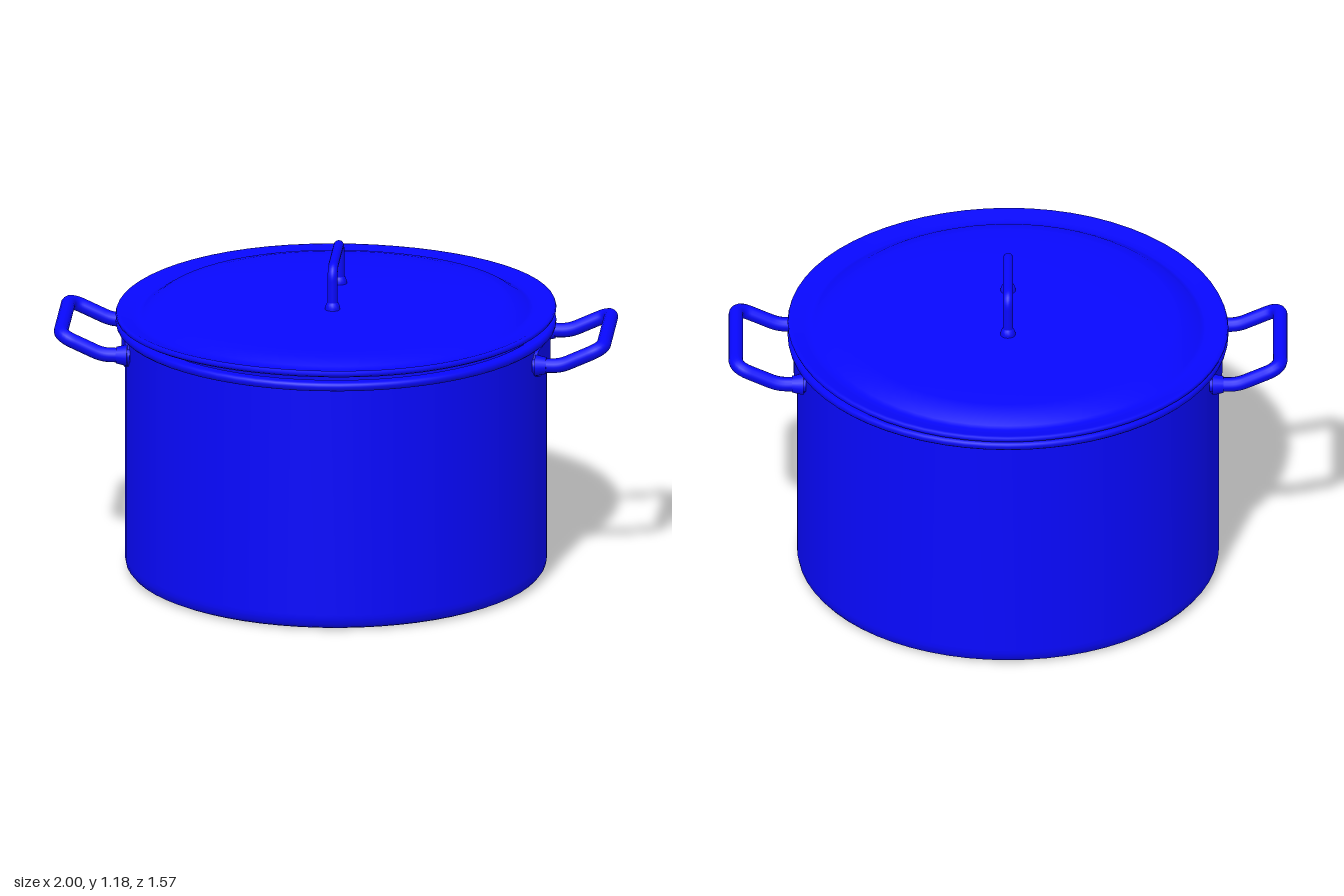
import * as THREE from 'three';
import { mergeVertices } from 'three/addons/utils/BufferGeometryUtils.js';

const material = new THREE.MeshStandardMaterial({ color: 0x0808ff });
const V = (x, y, z) => new THREE.Vector3(x, y, z);

function part(name, geometry, parent) {
  const mesh = new THREE.Mesh(geometry, material);
  mesh.name = name;
  parent.add(mesh);
  return mesh;
}

const lathe = (profile, sides) =>
  new THREE.LatheGeometry(profile.map(([r, y]) => new THREE.Vector2(r, y)), sides);

// Round bar through the given points, with each inner corner rounded off
function bentBar(points, corners, radius) {
  const path = new THREE.CurvePath();
  let last = points[0];
  for (let i = 1; i < points.length - 1; i++) {
    const p = points[i], c = corners[i - 1];
    const a = p.clone().add(points[i - 1].clone().sub(p).setLength(c));
    const b = p.clone().add(points[i + 1].clone().sub(p).setLength(c));
    path.add(new THREE.LineCurve3(last, a));
    path.add(new THREE.QuadraticBezierCurve3(a, p, b));
    last = b;
  }
  path.add(new THREE.LineCurve3(last, points[points.length - 1]));
  return new THREE.TubeGeometry(path, 96, radius, 14);
}

// Lid with a slightly warped brim that settles towards the middle
function lidGeometry() {
  const g = lathe([
    [0, 0.995], [0.3, 0.992], [0.5, 0.982], [0.62, 0.962], [0.68, 0.938], [0.73, 0.934],
    [0.772, 0.944], [0.784, 0.951], [0.787, 0.959], [0.784, 0.967], [0.772, 0.968],
    [0.73, 0.954], [0.705, 0.953], [0.688, 0.96], [0.65, 0.984], [0.6, 0.995],
    [0.5, 1.004], [0.3, 1.013], [0, 1.016],
  ], 64);
  const pos = g.attributes.position;
  for (let i = 0; i < pos.count; i++) {
    const x = pos.getX(i), z = pos.getZ(i);
    const angle = Math.atan2(z, x);
    const fade = THREE.MathUtils.smoothstep(Math.hypot(x, z), 0.4, 0.78);
    const warp = 0.009 * (Math.cos(angle) + Math.sin(angle)) + 0.004 * Math.sin(3 * angle + 2);
    pos.setY(i, pos.getY(i) + fade * (warp + 0.003));
  }
  g.deleteAttribute('normal');
  g.deleteAttribute('uv');
  const merged = mergeVertices(g);
  merged.computeVertexNormals();
  return merged;
}

// Round-ended strip wrapped on the pot wall
function plateGeometry() {
  const half = 0.225, h = 0.052;
  const g = new THREE.BoxGeometry(0.018, 2 * h, 2 * half, 1, 1, 40);
  const pos = g.attributes.position;
  for (let i = 0; i < pos.count; i++) {
    const z = pos.getZ(i), over = Math.max(0, Math.abs(z) - (half - h)) / h;
    const r = 0.757 + pos.getX(i), angle = z / 0.757;
    const y = pos.getY(i) * Math.max(0.2, Math.sqrt(Math.max(0, 1 - over * over)));
    pos.setXYZ(i, r * Math.cos(angle), 0.84 + y, r * Math.sin(angle));
  }
  g.computeVertexNormals();
  return g;
}

export function createModel() {
  const pot = new THREE.Group();
  pot.name = 'cookingPot';

  // Hollow body with a rounded foot and rolled rim
  part('body', lathe([
    [0, 0], [0.7, 0], [0.722, 0.002], [0.739, 0.01], [0.75, 0.024], [0.754, 0.045],
    [0.754, 0.06], [0.754, 0.9], [0.757, 0.906], [0.778, 0.907], [0.785, 0.914],
    [0.787, 0.924], [0.785, 0.933], [0.778, 0.939], [0.75, 0.94], [0.738, 0.934],
    [0.734, 0.92], [0.734, 0.06], [0.725, 0.03], [0.7, 0.02], [0, 0.02],
  ], 64), pot);

  // Lid and its upright handle
  const lid = new THREE.Group();
  lid.name = 'lid';
  pot.add(lid);
  part('lidCover', lidGeometry(), lid);
  part('lidHandle', bentBar(
    [V(0, 1.0, 0.153), V(0, 1.167, 0.153), V(0, 1.167, -0.153), V(0, 1.0, -0.153)],
    [0.045, 0.045], 0.018), lid);
  for (const side of [1, -1]) {
    const foot = part('lidHandleFoot', lathe(
      [[0.027, 0], [0.027, 0.022], [0.023, 0.034], [0.017, 0.042]], 16), lid);
    foot.position.set(0, 1.0, side * 0.153);
  }

  // Side handles, the second one turned round
  for (const [name, turn] of [['leftHandle', 0], ['rightHandle', Math.PI]]) {
    const handle = new THREE.Group();
    handle.name = name;
    handle.rotation.y = turn;
    pot.add(handle);
    part('grip', bentBar([
      V(0.72, 0.84, 0.208), V(0.82, 0.84, 0.208), V(0.972, 0.91, 0.208),
      V(0.972, 0.91, -0.208), V(0.82, 0.84, -0.208), V(0.72, 0.84, -0.208),
    ], [0.03, 0.055, 0.055, 0.03], 0.026), handle);
    part('mountPlate', plateGeometry(), handle);
    for (const side of [1, -1]) {
      const collar = part('collar', new THREE.CylinderGeometry(0.03, 0.039, 0.04, 20), handle);
      collar.rotation.z = -Math.PI / 2;
      collar.position.set(0.75, 0.84, side * 0.208);
    }
  }
  return pot;
}
